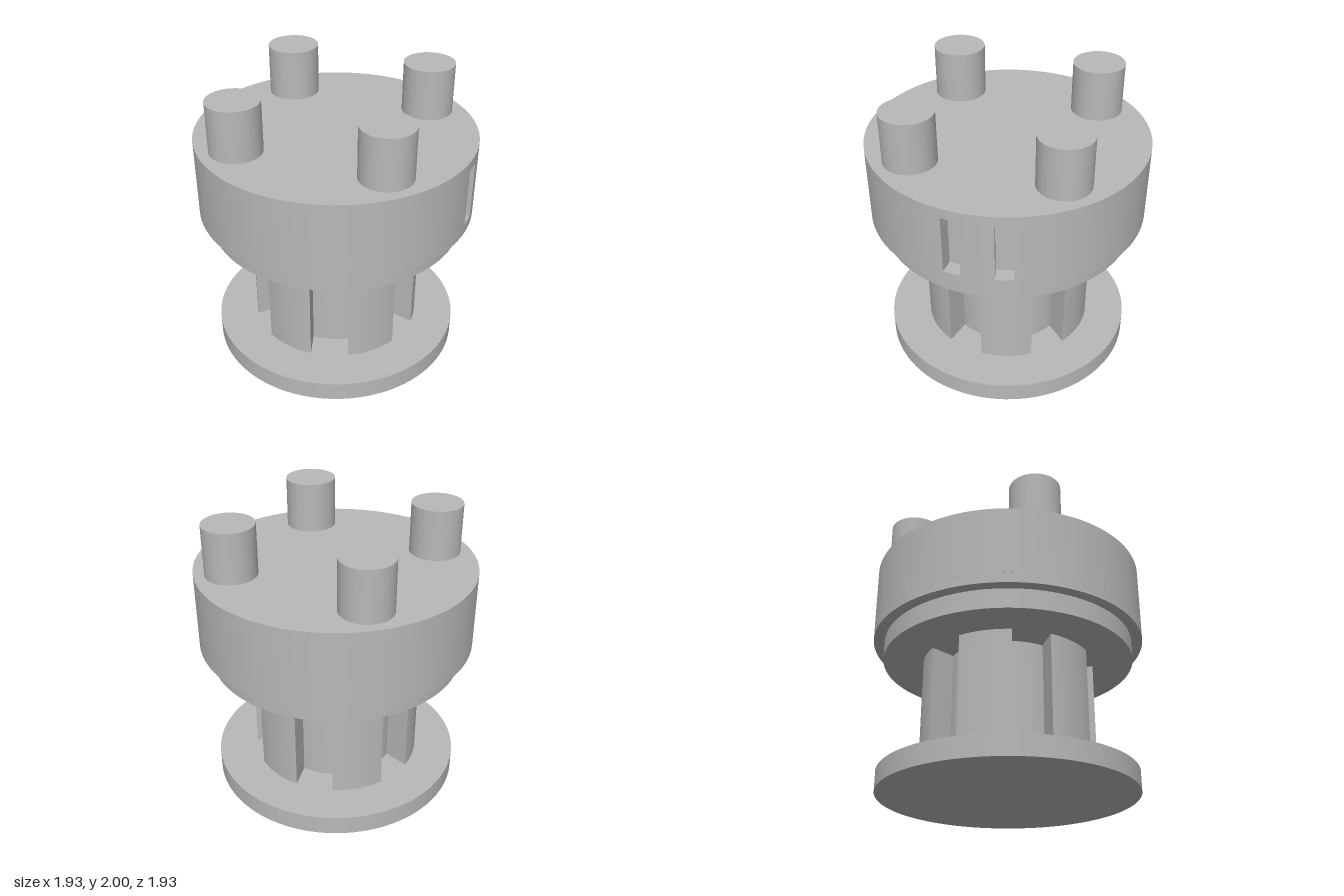
import * as THREE from 'three';
import { toCreasedNormals } from 'three/addons/utils/BufferGeometryUtils.js';

const rad = THREE.MathUtils.degToRad;

// Upright disc with radial, parallel-sided slots; angles run from +z towards +x
function slottedDisc(radius, floorRadius, halfWidth, slotAngles, height) {
  const outer = Math.asin(halfWidth / radius);
  const inner = Math.asin(halfWidth / floorRadius);
  const shape = new THREE.Shape();
  slotAngles.forEach((deg, i) => {
    const a = rad(deg) - Math.PI / 2;
    const last = i === slotAngles.length - 1;
    const next = rad(last ? slotAngles[0] + 360 : slotAngles[i + 1]) - Math.PI / 2;
    if (i === 0) shape.moveTo(radius * Math.cos(a - outer), radius * Math.sin(a - outer));
    shape.absarc(0, 0, floorRadius, a - inner, a + inner, false); // slot floor
    shape.absarc(0, 0, radius, a + outer, next - outer, false); // outer wall
  });
  const geometry = new THREE.ExtrudeGeometry(shape, {
    depth: height, bevelEnabled: false, curveSegments: slotAngles.length > 4 ? 16 : 90,
  });
  geometry.rotateX(-Math.PI / 2);
  return toCreasedNormals(geometry, rad(25));
}

export function createModel() {
  const group = new THREE.Group();
  const grey = new THREE.MeshStandardMaterial({ color: 0xb8b8b8 });
  grey.name = 'grey';

  const add = (name, geometry, x, y, z) => {
    const mesh = new THREE.Mesh(geometry, grey);
    mesh.name = name;
    mesh.position.set(x, y, z);
    group.add(mesh);
  };
  const disc = (name, radius, y0, y1, x = 0, z = 0) =>
    add(name, new THREE.CylinderGeometry(radius, radius, y1 - y0, 96), x, (y0 + y1) / 2, z);

  // Base flange, slotted core and collar
  disc('baseFlange', 0.887, 0, 0.14);
  add('slottedCore', slottedDisc(0.605, 0.428, 0.133, [30, 90, 150, 210, 270, 330], 0.816), 0, 0.14, 0);
  disc('collar', 0.887, 0.956, 1.094);

  // Head in three layers, the middle one holding the two side pockets
  disc('headBottom', 0.963, 1.094, 1.168);
  add('headPockets', slottedDisc(0.963, 0.863, 0.0585, [40, 60], 0.408), 0, 1.168, 0);
  disc('headTop', 0.963, 1.576, 1.645);

  // Four pins on top
  for (let i = 0; i < 4; i++) {
    const a = (i * Math.PI) / 2;
    disc('pin', 0.178, 1.645, 2, 0.713 * Math.sin(a), 0.713 * Math.cos(a));
  }
  return group;
}
